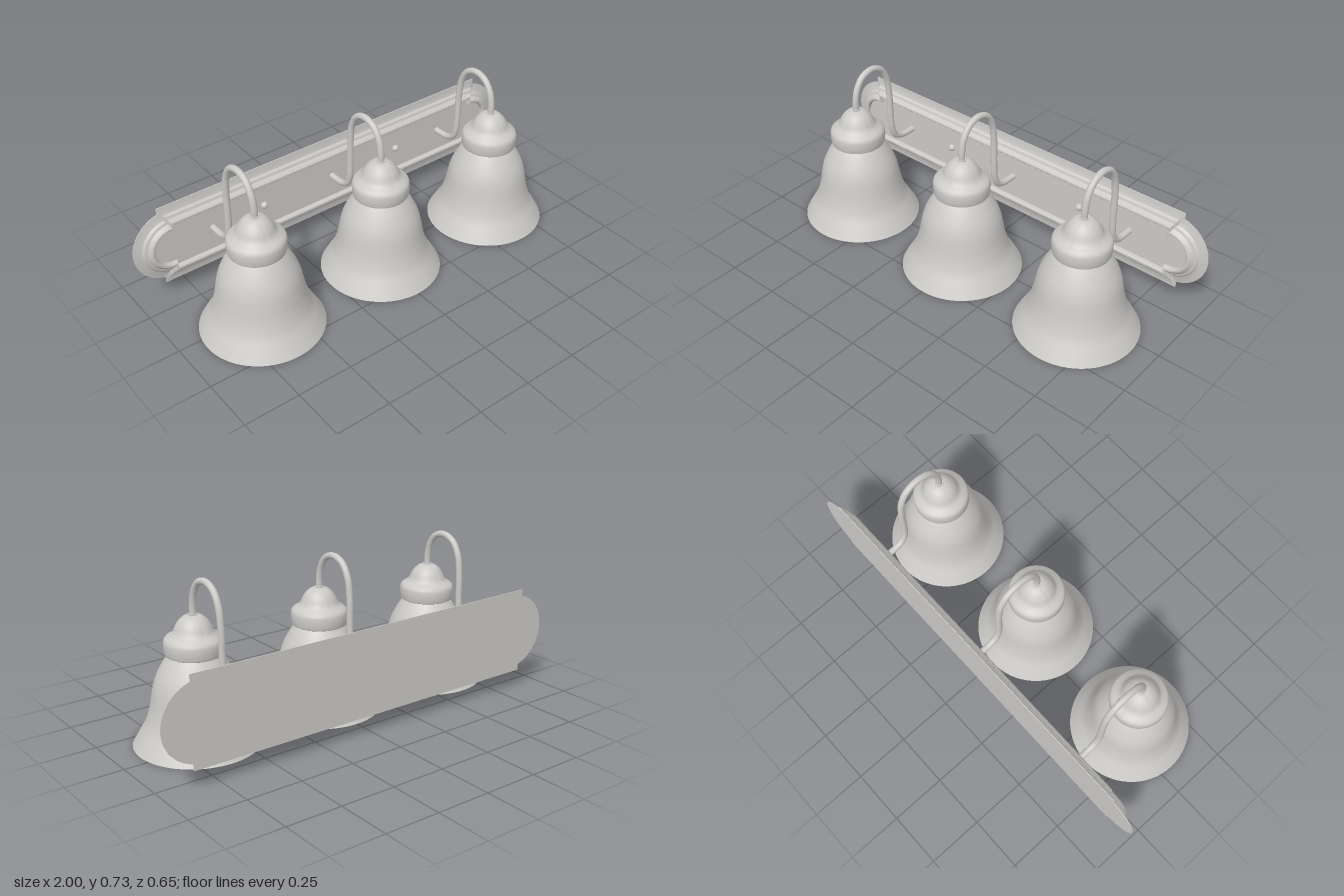
import * as THREE from 'three';
import { toCreasedNormals } from 'three/addons/utils/BufferGeometryUtils.js';

const metal = new THREE.MeshStandardMaterial({ color: 0xcccac7, side: THREE.DoubleSide });
metal.name = 'satin grey';

const CY = 0.278; // height of the wall plate's centre line
const PANEL_Z = -0.303;

function part(name, geometry, parent) {
  const mesh = new THREE.Mesh(geometry, metal);
  mesh.name = name;
  parent.add(mesh);
  return mesh;
}

function lathe(points, segments = 64) {
  const g = new THREE.LatheGeometry(points.map(([r, y]) => new THREE.Vector2(r, y)), segments);
  return toCreasedNormals(g, 0.7);
}

// Plate outline, inset by d: long rectangle with a stepped round bay at each end
function outline(d) {
  const h = 0.195 - d, cx = 0.87 - d * 0.6, c = 0.83, r = 0.17 - d;
  const a = Math.acos((cx - c) / r), n = 28;
  const right = [[cx, -h]];
  for (let i = 0; i <= n; i++) {
    const t = -a + (2 * a * i) / n;
    right.push([c + r * Math.cos(t), r * Math.sin(t)]);
  }
  right.push([cx, h]);
  return [...right, ...right.map(([x, y]) => [-x, -y])].map(([x, y]) => new THREE.Vector2(x, y + CY));
}

// Moulded rim lofted through inset outlines
function rimGeometry() {
  const levels = [[0, -0.325], [0, -0.321], [0.018, -0.318], [0.036, -0.312], [0.044, -0.303],
    [0.056, -0.299], [0.064, -0.288], [0.071, -0.283], [0.08, -0.283], [0.085, -0.288], [0.087, PANEL_Z]];
  const pos = [], index = [];
  let n = 0;
  for (const [d, z] of levels) {
    const ring = outline(d);
    n = ring.length;
    for (const p of ring) pos.push(p.x, p.y, z);
  }
  for (let l = 0; l < levels.length - 1; l++) {
    for (let j = 0; j < n; j++) {
      const a = l * n + j, b = l * n + ((j + 1) % n);
      index.push(a, b, b + n, a, b + n, a + n);
    }
  }
  const g = new THREE.BufferGeometry();
  g.setAttribute('position', new THREE.Float32BufferAttribute(pos, 3));
  g.setIndex(index);
  return toCreasedNormals(g, 0.5);
}

function createPlate() {
  const plate = new THREE.Group();
  plate.name = 'wallPlate';
  part('plateRim', rimGeometry(), plate);
  part('platePanel', new THREE.ShapeGeometry(new THREE.Shape(outline(0.087))), plate).position.z = PANEL_Z;
  const back = part('plateBack', new THREE.ShapeGeometry(new THREE.Shape(outline(0))), plate);
  back.rotation.y = Math.PI;
  back.position.z = -0.325;
  for (const x of [-0.37, 0.37]) {
    part('screwKnob', new THREE.SphereGeometry(0.017, 20, 14), plate).position.set(x, 0.28, -0.301);
  }
  return plate;
}

function createLamp(x) {
  const lamp = new THREE.Group();
  lamp.name = 'lamp';
  lamp.position.x = x;
  const head = new THREE.Group();
  head.name = 'lampHead';
  head.position.z = 0.057;
  lamp.add(head);

  // Bell shade, open below
  const bell = new THREE.SplineCurve([[0.269, 0], [0.24, 0.05], [0.212, 0.1], [0.193, 0.16], [0.183, 0.21],
    [0.173, 0.26], [0.157, 0.305], [0.13, 0.355], [0.106, 0.39]].map(p => new THREE.Vector2(...p)));
  part('bellShade', lathe(bell.getPoints(28).map(p => [p.x, p.y])), head);

  // Socket cup with a rounded band and a dome
  part('socketCup', lathe([[0, 0.387], [0.112, 0.387], [0.12, 0.391], [0.123, 0.4], [0.124, 0.442], [0.121, 0.453],
    [0.114, 0.461], [0.1, 0.469], [0.089, 0.478], [0.082, 0.486], [0.077, 0.5], [0.069, 0.516],
    [0.058, 0.531], [0.044, 0.544], [0.03, 0.551], [0.019, 0.553], [0.019, 0.558], [0, 0.558]]), head);

  // Bulb hanging inside the shade
  const bulb = [];
  for (let i = 0; i <= 16; i++) {
    const t = (i / 16) * 2.4;
    bulb.push([0.093 * Math.sin(t), 0.2 - 0.093 * Math.cos(t)]);
  }
  bulb.push([0.048, 0.295], [0.038, 0.325], [0.036, 0.387]);
  part('bulb', lathe(bulb, 32), head);

  // Gooseneck arm from the dome to the plate
  const path = new THREE.CatmullRomCurve3([[0.057, 0.55], [0.057, 0.59], [0.044, 0.648], [0.008, 0.697], [-0.05, 0.714],
    [-0.107, 0.692], [-0.143, 0.635], [-0.157, 0.55], [-0.16, 0.43], [-0.166, 0.35], [-0.185, 0.306],
    [-0.222, 0.285], [-0.27, 0.28], [PANEL_Z, 0.28]].map(([z, y]) => new THREE.Vector3(0, y, z)));
  part('gooseneckArm', new THREE.TubeGeometry(path, 72, 0.0145, 16), lamp);
  return lamp;
}

export function createModel() {
  const model = new THREE.Group();
  model.name = 'threeLightWallFixture';
  model.add(createPlate());
  for (const x of [-0.63, 0, 0.63]) model.add(createLamp(x));
  return model;
}
